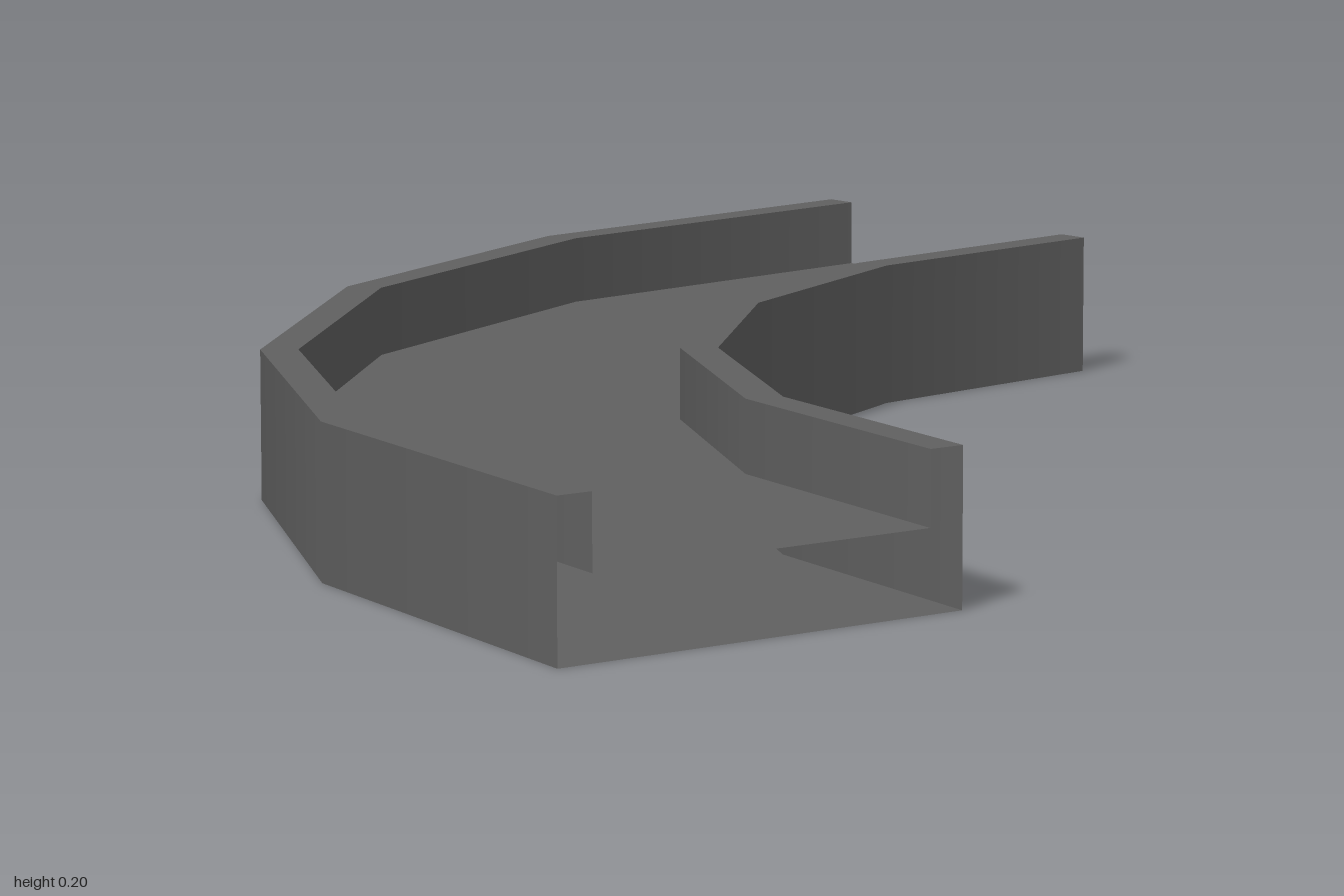
import * as THREE from 'three';

// A hollow, open-ended quarter bend of channel: one closed profile swept in five steps.
export function createModel() {
  const model = new THREE.Group();
  model.name = 'curvedChannel';
  const grey = new THREE.MeshStandardMaterial({ color: 0x606060, side: THREE.DoubleSide });
  grey.name = 'dark grey';

  // Radius and height of each profile corner
  const profile = [
    ['outerSide', 2, 0],
    ['outerRim', 2, 0.2],
    ['outerLip', 1.95, 0.2],
    ['deck', 1.95, 0.105],
    ['innerLip', 1.45, 0.105],
    ['innerRim', 1.45, 0.2],
    ['innerSide', 1.4, 0.2],
    ['underside', 1.4, 0],
  ];

  // Each profile edge is its own strip: smooth along the bend, sharp at the corners
  profile.forEach(([name, r, y], i) => {
    const [, r2, y2] = profile[(i + 1) % profile.length];
    const points = [new THREE.Vector2(r, y), new THREE.Vector2(r2, y2)];
    const strip = new THREE.Mesh(
      new THREE.LatheGeometry(points, 5, -Math.PI / 2, Math.PI / 2), grey);
    strip.name = name;
    strip.position.set(1, 0, -1); // centre of the bend
    model.add(strip);
  });
  return model;
}
